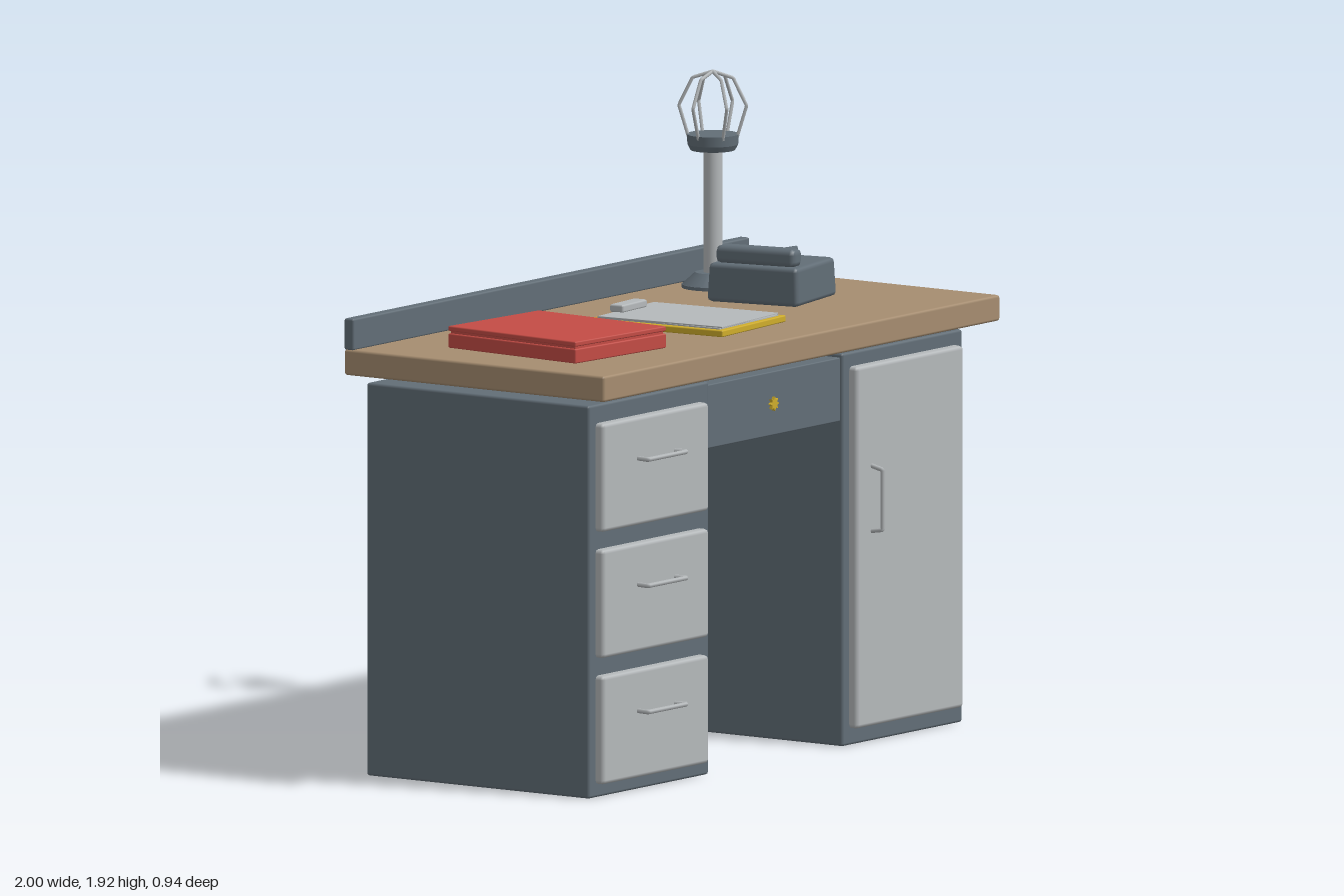
import * as THREE from 'three';
import { RoundedBoxGeometry } from 'three/addons/geometries/RoundedBoxGeometry.js';

const material = (name, color) => {
  const m = new THREE.MeshStandardMaterial({ color });
  m.name = name;
  return m;
};

export function createModel() {
  const steel = material('blueGreySteel', 0x626e77);
  const wood = material('wood', 0xa68d70);
  const pale = material('paleGrey', 0xb5b9bb);
  const red = material('red', 0xc44c45);
  const yellow = material('yellow', 0xcfad2c);

  const root = new THREE.Group();
  root.name = 'desk';

  const add = (name, geometry, mat, parent = root) => {
    const mesh = new THREE.Mesh(geometry, mat);
    mesh.name = name;
    parent.add(mesh);
    return mesh;
  };
  // Box given by its limits on each axis, with slightly softened edges
  const box = (name, mat, [x0, x1], [y0, y1], [z0, z1], r = 0.006, parent = root) => {
    const g = new RoundedBoxGeometry(x1 - x0, y1 - y0, z1 - z0, 1, r);
    const mesh = add(name, g, mat, parent);
    mesh.position.set((x0 + x1) / 2, (y0 + y1) / 2, (z0 + z1) / 2);
    return mesh;
  };
  // Bent wire running through straight segments
  const wire = (name, points, radius, mat, parent = root) => {
    const path = new THREE.CurvePath();
    const v = points.map((p) => new THREE.Vector3(...p));
    for (let i = 1; i < v.length; i++) path.add(new THREE.LineCurve3(v[i - 1], v[i]));
    return add(name, new THREE.TubeGeometry(path, 40, radius, 6), mat, parent);
  };
  const group = (name, x, y, z, turn = 0) => {
    const g = new THREE.Group();
    g.name = name;
    g.position.set(x, y, z);
    g.rotation.y = turn;
    root.add(g);
    return g;
  };

  // Desk body
  box('deskTop', wood, [-1, 1], [1.193, 1.27], [-0.47, 0.47], 0.008);
  box('backRail', steel, [-1, 1], [1.268, 1.362], [-0.47, -0.435]);
  box('drawerCabinet', steel, [-0.943, -0.338], [0, 1.167], [-0.43, 0.375], 0.008);
  box('doorCabinet', steel, [0.337, 0.942], [0, 1.167], [-0.43, 0.375], 0.008);
  box('modestyPanel', steel, [-0.345, 0.345], [0.1, 1.155], [-0.41, -0.38], 0.004);
  box('centreDrawer', steel, [-0.345, 0.345], [0.965, 1.155], [-0.38, 0.365], 0.004);

  // Drawer fronts with bar handles
  for (const y of [0.04, 0.415, 0.79]) {
    box('drawerFront', pale, [-0.91, -0.375], [y, y + 0.322], [0.36, 0.404], 0.012);
    const h = y + 0.2;
    wire('drawerHandle', [[-0.735, h, 0.4], [-0.742, h, 0.444], [-0.543, h, 0.444], [-0.55, h, 0.4]], 0.007, pale);
  }

  // Cupboard door
  box('door', pale, [0.37, 0.91], [0.05, 1.125], [0.36, 0.404], 0.012);
  wire('doorHandle', [[0.444, 0.63, 0.4], [0.444, 0.637, 0.444], [0.444, 0.815, 0.444], [0.444, 0.825, 0.4]], 0.007, pale);

  // Star shaped lock on the centre drawer
  const star = new THREE.Shape();
  for (let i = 0; i < 16; i++) {
    const a = (i / 16) * Math.PI * 2;
    const r = i % 2 ? 0.013 : 0.021;
    star[i ? 'lineTo' : 'moveTo'](r * Math.cos(a), r * Math.sin(a));
  }
  const lock = new THREE.ExtrudeGeometry(star, { depth: 0.012, bevelEnabled: false });
  add('lock', lock, yellow).position.set(-0.004, 1.06, 0.363);

  // Red binder: two covers around an inset core
  const binder = group('binder', -0.615, 1.27, 0.025, -0.083);
  box('binderBase', red, [-0.206, 0.206], [0, 0.043], [-0.246, 0.246], 0.004, binder);
  box('binderCore', red, [-0.2, 0.2], [0.03, 0.055], [-0.24, 0.24], 0.003, binder);
  box('binderCover', red, [-0.206, 0.206], [0.05, 0.065], [-0.246, 0.246], 0.004, binder);

  // Clipboard with two sheets of paper
  const clipboard = group('clipboard', -0.002, 1.27, 0.053, 0.08);
  box('board', yellow, [-0.181, 0.181], [0, 0.02], [-0.233, 0.233], 0.004, clipboard);
  box('lowerSheet', pale, [-0.163, 0.163], [0.018, 0.024], [-0.207, 0.217], 0.001, clipboard).rotation.y = -0.015;
  box('upperSheet', pale, [-0.163, 0.163], [0.023, 0.028], [-0.207, 0.217], 0.001, clipboard).rotation.y = 0.012;
  box('clip', pale, [-0.07, 0.07], [0.026, 0.05], [-0.222, -0.175], 0.006, clipboard);

  // Telephone with a tapered body
  const phone = group('telephone', 0.55, 1.27, -0.034, 0.185);
  const bodyShape = new RoundedBoxGeometry(0.276, 0.115, 0.298, 1, 0.014);
  const p = bodyShape.attributes.position;
  for (let i = 0; i < p.count; i++) {
    const s = p.getY(i) > 0 ? 0.97 : 1;
    p.setX(i, p.getX(i) * s);
    p.setZ(i, p.getZ(i) * s);
  }
  add('phoneBody', bodyShape, steel, phone).position.y = 0.0575;
  box('handset', steel, [-0.121, -0.059], [0.112, 0.167], [-0.13, 0.13], 0.018, phone);
  box('phoneKeypad', steel, [0.012, 0.116], [0.11, 0.133], [-0.08, 0.034], 0.004, phone).rotation.x = -0.2;

  // Lamp with a six-ribbed wire cage
  const lamp = group('lamp', 0.635, 1.27, -0.308);
  const turned = (name, top, bottom, y0, y1, mat) => {
    const g = new THREE.CylinderGeometry(top, bottom, y1 - y0, 24);
    add(name, g, mat, lamp).position.y = (y0 + y1) / 2;
  };
  turned('lampFoot', 0.092, 0.092, 0, 0.01, steel);
  turned('lampBase', 0.052, 0.09, 0.01, 0.045, steel);
  turned('lampPole', 0.028, 0.028, 0.04, 0.42, pale);
  turned('lampCollarLower', 0.075, 0.066, 0.408, 0.425, steel);
  turned('lampCollar', 0.077, 0.075, 0.425, 0.455, steel);
  for (let i = 0; i < 6; i++) {
    const rib = [[0.07, 0.44, 0], [0.1, 0.54, 0], [0.06, 0.622, 0], [0, 0.641, 0]];
    wire('cageRib', rib, 0.0055, pale, lamp).rotation.y = (i * Math.PI) / 3;
  }

  return root;
}
